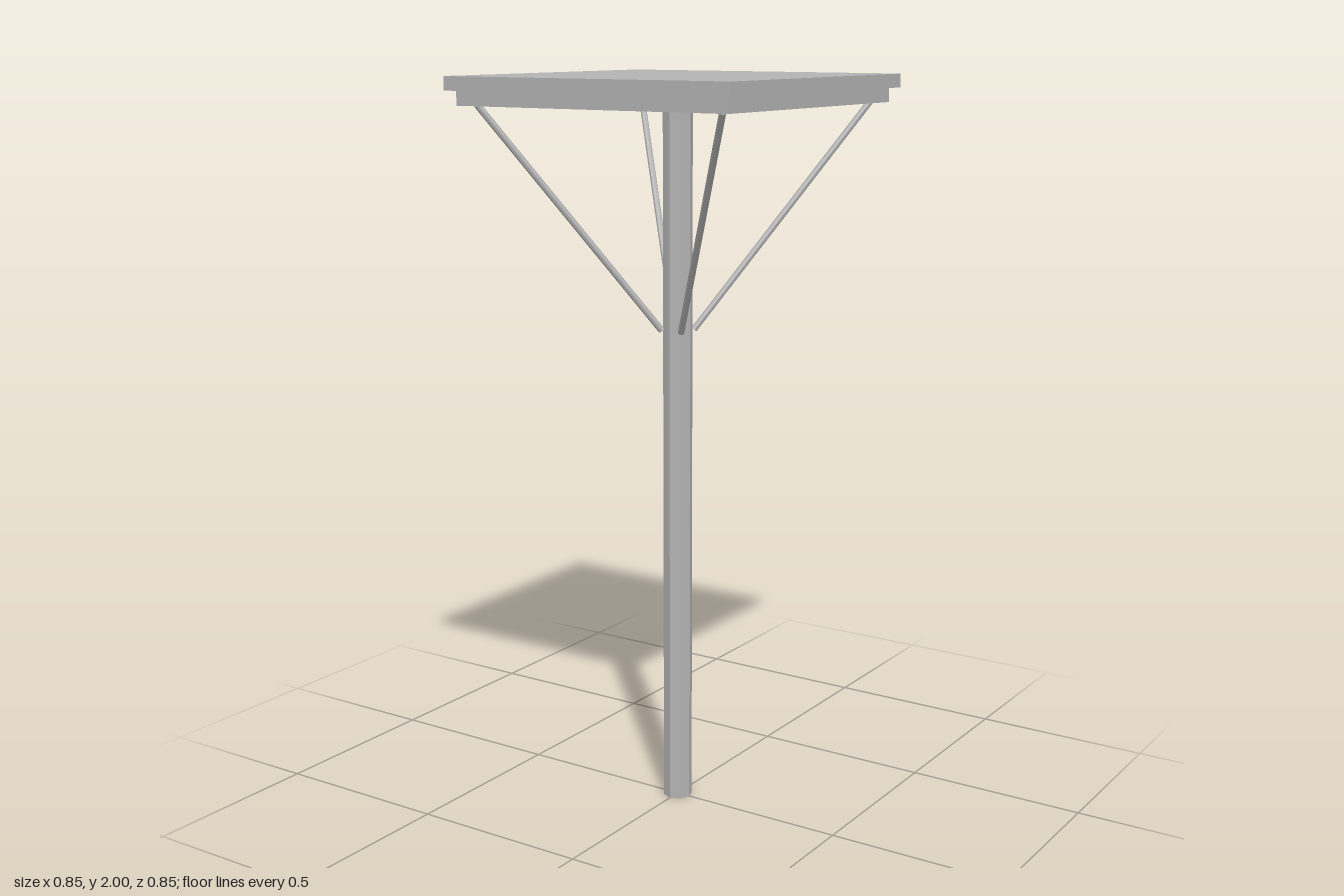
import * as THREE from 'three';

export function createModel() {
  const model = new THREE.Group();
  const grey = new THREE.MeshStandardMaterial({ color: 0xb3b3b3, flatShading: true });
  grey.name = 'grey';

  function add(name, geometry, y = 0) {
    const mesh = new THREE.Mesh(geometry, grey);
    mesh.name = name;
    mesh.position.y = y;
    model.add(mesh);
    return mesh;
  }

  // Two stacked square slabs
  add('canopyTop', new THREE.BoxGeometry(0.854, 0.036, 0.854), 1.982);
  add('canopyBase', new THREE.BoxGeometry(0.81, 0.038, 0.81), 1.945);

  // Hollow octagonal post, ending just below the canopy
  add('post', new THREE.CylinderGeometry(0.04, 0.04, 1.915, 8, 1, true), 0.9575);

  // Thin diagonal braces from the post to the canopy corners
  const up = new THREE.Vector3(0, 1, 0);
  for (const sx of [-1, 1]) {
    for (const sz of [-1, 1]) {
      const low = new THREE.Vector3(0.031 * sx, 1.332, 0.031 * sz);
      const high = new THREE.Vector3(0.368 * sx, 1.928, 0.368 * sz);
      const along = high.clone().sub(low);
      const brace = add('brace', new THREE.CylinderGeometry(0.009, 0.009, along.length(), 8, 1, true));
      brace.position.copy(low).add(high).multiplyScalar(0.5);
      brace.quaternion.setFromUnitVectors(up, along.normalize());
    }
  }
  return model;
}
